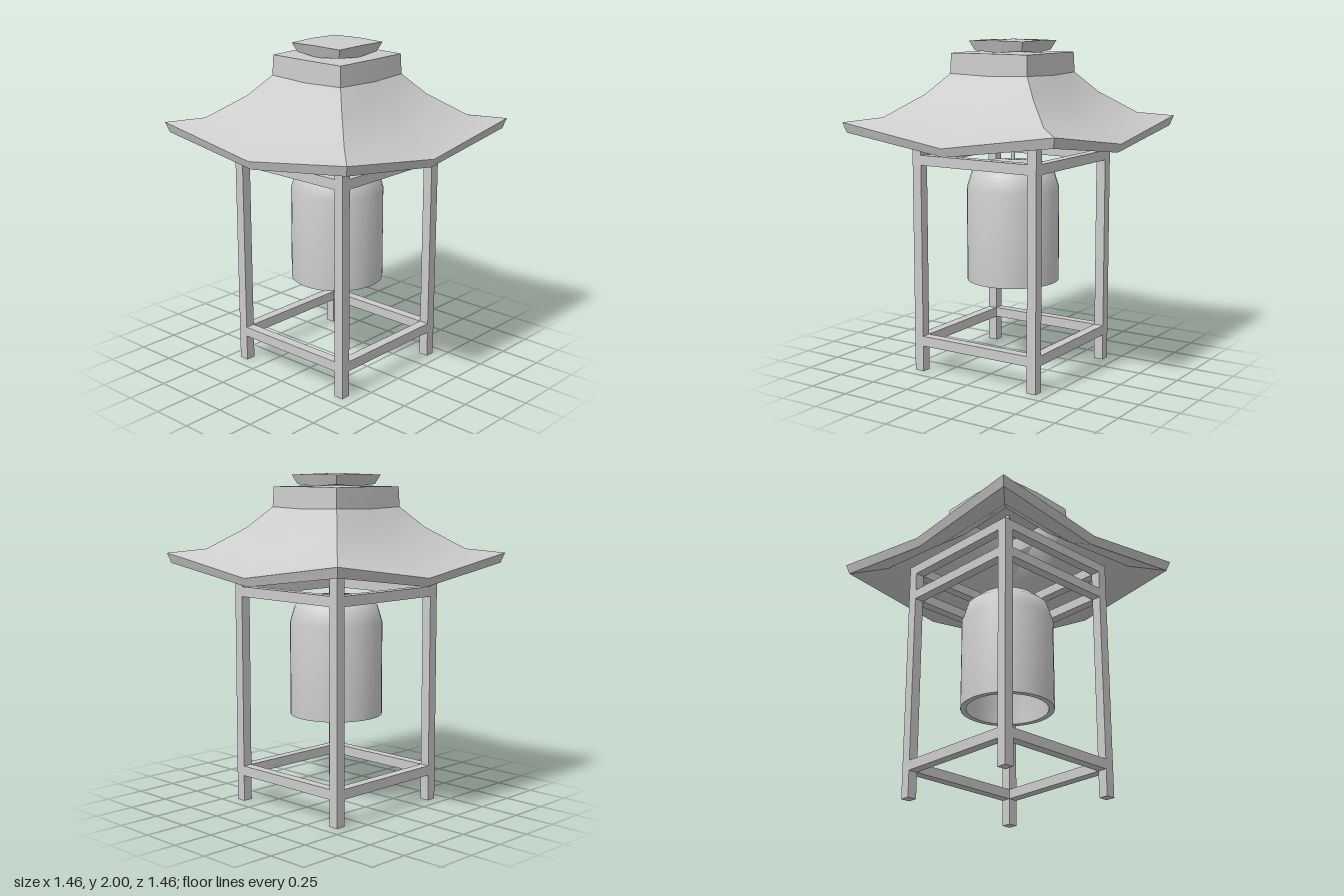
import * as THREE from 'three';
import { toCreasedNormals } from 'three/addons/utils/BufferGeometryUtils.js';

const material = new THREE.MeshStandardMaterial({ color: 0xcccccc });

function addMesh(parent, name, geometry, x = 0, y = 0, z = 0) {
  const mesh = new THREE.Mesh(geometry, material);
  mesh.name = name;
  mesh.position.set(x, y, z);
  parent.add(mesh);
  return mesh;
}

// One side of a square form. Each profile row gives
// [corner offset, corner height, middle offset, middle height].
function panelGeometry(profile) {
  const points = [];
  const index = [];
  profile.forEach(([cornerOut, cornerY, midOut, midY], row) => {
    points.push(-cornerOut, cornerY, cornerOut, 0, midY, midOut, cornerOut, cornerY, cornerOut);
    if (row === 0) return;
    for (let col = 0; col < 2; col++) {
      const a = (row - 1) * 3 + col;
      const b = row * 3 + col;
      index.push(a, a + 1, b + 1, a, b + 1, b);
    }
  });
  const geometry = new THREE.BufferGeometry();
  geometry.setAttribute('position', new THREE.Float32BufferAttribute(points, 3));
  geometry.setIndex(index);
  return toCreasedNormals(geometry, 0.6);
}

// Four panels turned about the vertical axis
function addFourSided(parent, name, profile) {
  const group = new THREE.Group();
  group.name = name;
  const geometry = panelGeometry(profile);
  for (let i = 0; i < 4; i++) {
    addMesh(group, name + 'Side', geometry).rotation.y = i * Math.PI / 2;
  }
  parent.add(group);
}

export function createModel() {
  const model = new THREE.Group();
  model.name = 'bellShelter';

  // Square frame: four posts joined by three levels of rails
  const frame = new THREE.Group();
  frame.name = 'frame';
  model.add(frame);
  const postGeometry = new THREE.BoxGeometry(0.06, 1.5, 0.06);
  const railGeometry = new THREE.BoxGeometry(0.74, 0.06, 0.06);
  for (let i = 0; i < 4; i++) {
    const side = new THREE.Group();
    side.name = 'frameSide';
    side.rotation.y = i * Math.PI / 2;
    addMesh(side, 'post', postGeometry, 0.4, 0.75, 0.4);
    for (const y of [0.19, 1.295, 1.47]) addMesh(side, 'rail', railGeometry, 0, y, 0.4);
    frame.add(side);
  }

  // Hollow bell on a thin rod
  const bellProfile = [
    [0, 1.22], [0.17, 1.21], [0.215, 1.18], [0.245, 1.1], [0.245, 0.545],
    [0.28, 0.545], [0.28, 1.11], [0.25, 1.21], [0.19, 1.262], [0, 1.28],
  ].map(([r, y]) => new THREE.Vector2(r, y));
  addMesh(model, 'bell', toCreasedNormals(new THREE.LatheGeometry(bellProfile, 32), 0.7));
  addMesh(model, 'hangingRod', new THREE.CylinderGeometry(0.013, 0.013, 0.62, 12), 0, 1.57, 0);

  // Curved roof shell with upturned corners, underside first
  addFourSided(model, 'roof', [
    [0, 1.87, 0, 1.87],
    [0.23, 1.87, 0.24, 1.87],
    [0.235, 1.77, 0.24, 1.765],
    [0.345, 1.635, 0.35, 1.6],
    [0.53, 1.5, 0.545, 1.45],
    [0.7, 1.465, 0.71, 1.37],
    [0.718, 1.525, 0.73, 1.42],
    [0.55, 1.55, 0.56, 1.505],
    [0.375, 1.68, 0.385, 1.645],
    [0.268, 1.8, 0.28, 1.793],
  ]);

  // Square collar above the roof
  addFourSided(model, 'roofCollar', [
    [0.268, 1.8, 0.28, 1.793],
    [0.263, 1.92, 0.275, 1.922],
    [0, 1.925, 0, 1.925],
  ]);

  // Flared cap with a slightly crowned top
  addFourSided(model, 'roofCap', [
    [0, 1.92, 0, 1.92],
    [0.163, 1.935, 0.168, 1.922],
    [0.187, 1.99, 0.192, 1.994],
    [0, 2, 0, 2],
  ]);

  return model;
}
